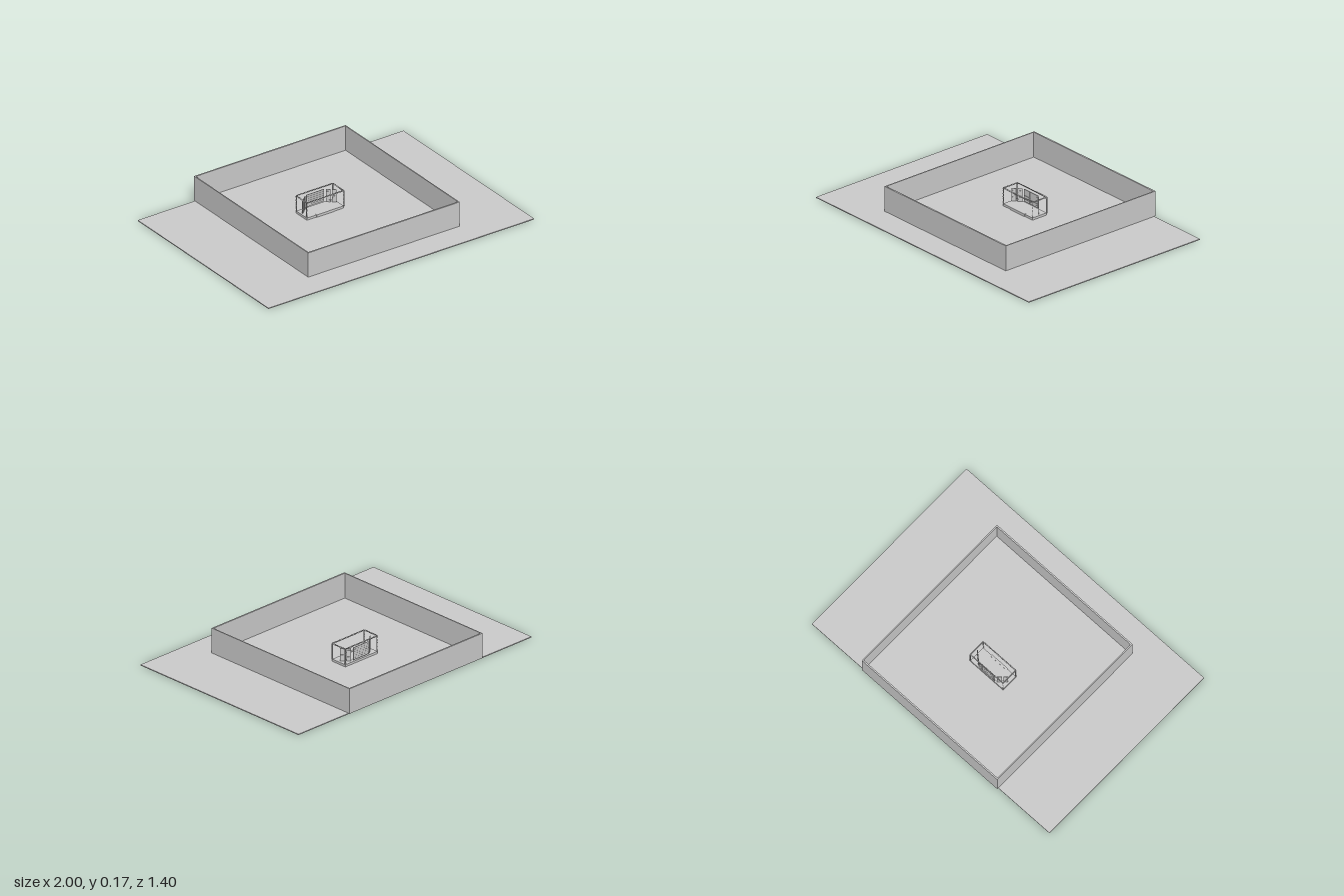
import * as THREE from 'three';

const grey = new THREE.MeshStandardMaterial({ color: 0xcccccc, flatShading: true });

function box(parent, name, x0, x1, y0, y1, z0, z1) {
  const mesh = new THREE.Mesh(new THREE.BoxGeometry(x1 - x0, y1 - y0, z1 - z0), grey);
  mesh.position.set((x0 + x1) / 2, (y0 + y1) / 2, (z0 + z1) / 2);
  mesh.name = name;
  parent.add(mesh);
  return mesh;
}

// Square bar running between two points
function bar(parent, name, a, b, t) {
  const dir = b.clone().sub(a);
  const mesh = new THREE.Mesh(new THREE.BoxGeometry(t, dir.length(), t), grey);
  mesh.position.copy(a).add(b).multiplyScalar(0.5);
  mesh.quaternion.setFromUnitVectors(new THREE.Vector3(0, 1, 0), dir.normalize());
  mesh.name = name;
  parent.add(mesh);
}

// Lattice beam: four chords with zigzag braces on two faces
function truss(parent, name, a, b) {
  const beam = new THREE.Group();
  beam.name = name;
  const w = 0.0025, t = 0.0012;
  const len = a.distanceTo(b), n = Math.max(4, Math.round(len / 0.01));
  const at = (x, i, z) => new THREE.Vector3(x * w, (len * i) / n, z * w);
  for (const x of [-1, 1]) {
    for (const z of [-1, 1]) bar(beam, 'chord', at(x, 0, z), at(x, n, z), t);
    for (let i = 0; i < n; i++) {
      const s = i % 2 ? 1 : -1;
      bar(beam, 'brace', at(x, i, s), at(x, i + 1, -s), t * 0.7);
    }
  }
  beam.position.copy(a);
  beam.quaternion.setFromUnitVectors(new THREE.Vector3(0, 1, 0), b.clone().sub(a).normalize());
  parent.add(beam);
}

// Screen made of a grid of thin modules between two floor points
function screen(parent, name, xa, za, xb, zb, y0, y1, cols, rows, gap) {
  const g = new THREE.Group();
  g.name = name;
  const len = Math.hypot(xb - xa, zb - za), cw = len / cols, rh = (y1 - y0) / rows;
  for (let i = 0; i < cols; i++) {
    for (let j = 0; j < rows; j++) {
      const x = -len / 2 + i * cw, y = y0 + j * rh;
      box(g, 'screenModule', x + gap * cw, x + cw - gap * cw, y + 0.0003, y + rh - 0.0003, -0.002, 0.002);
    }
  }
  g.position.set((xa + xb) / 2, 0, (za + zb) / 2);
  g.rotation.y = -Math.atan2(zb - za, xb - xa);
  parent.add(g);
}

export function createModel() {
  const model = new THREE.Group();
  const floor = 0.006;
  box(model, 'ground', -1, 1, 0, floor, -0.69, 0.7);

  // Enclosing walls
  const walls = new THREE.Group();
  walls.name = 'walls';
  const X = 0.57, zb = -0.7, zf = 0.515, top = 0.175, t = 0.01;
  box(walls, 'backWall', -X, X, floor, top, zb, zb + t);
  box(walls, 'frontWall', -X, X, floor, top, zf - t, zf);
  box(walls, 'rightWall', -X, -X + t * 0.7, floor, top, zb + t, zf - t);
  box(walls, 'leftWall', X - t * 0.7, X, floor, top, zb + t, zf - t);
  model.add(walls);

  // Stage, built around its own centre line
  const stage = new THREE.Group();
  stage.name = 'stage';
  stage.position.x = -0.015;
  model.add(stage);
  const hw = 0.138, back = -0.203, mid = -0.145, front = -0.088;
  const deck = 0.021, roof = 0.127;
  box(stage, 'platform', -hw, hw, floor, deck, back, front);
  box(stage, 'frontStep', -0.066, 0.066, floor, deck + 0.002, -0.098, -0.084);

  // Truss frame
  const v = (x, y, z) => new THREE.Vector3(x, y, z);
  for (const s of [-1, 1]) {
    for (const z of [back, front]) truss(stage, 'post', v(s * hw, deck, z), v(s * hw, roof, z));
    truss(stage, 'sideBeam', v(s * hw, roof, back), v(s * hw, roof, front));
  }
  for (const z of [back, front]) truss(stage, 'crossBeam', v(-hw, roof, z), v(hw, roof, z));

  // Back screen and angled side screens
  screen(stage, 'backScreen', -0.066, back + 0.005, 0.066, back + 0.005, 0.028, 0.112, 10, 6, 0.02);
  for (const s of [-1, 1]) {
    screen(stage, 'sideScreen', s * 0.132, mid, s * 0.074, back + 0.008, 0.024, 0.112, 2, 6, 0.12);
  }
  return model;
}
